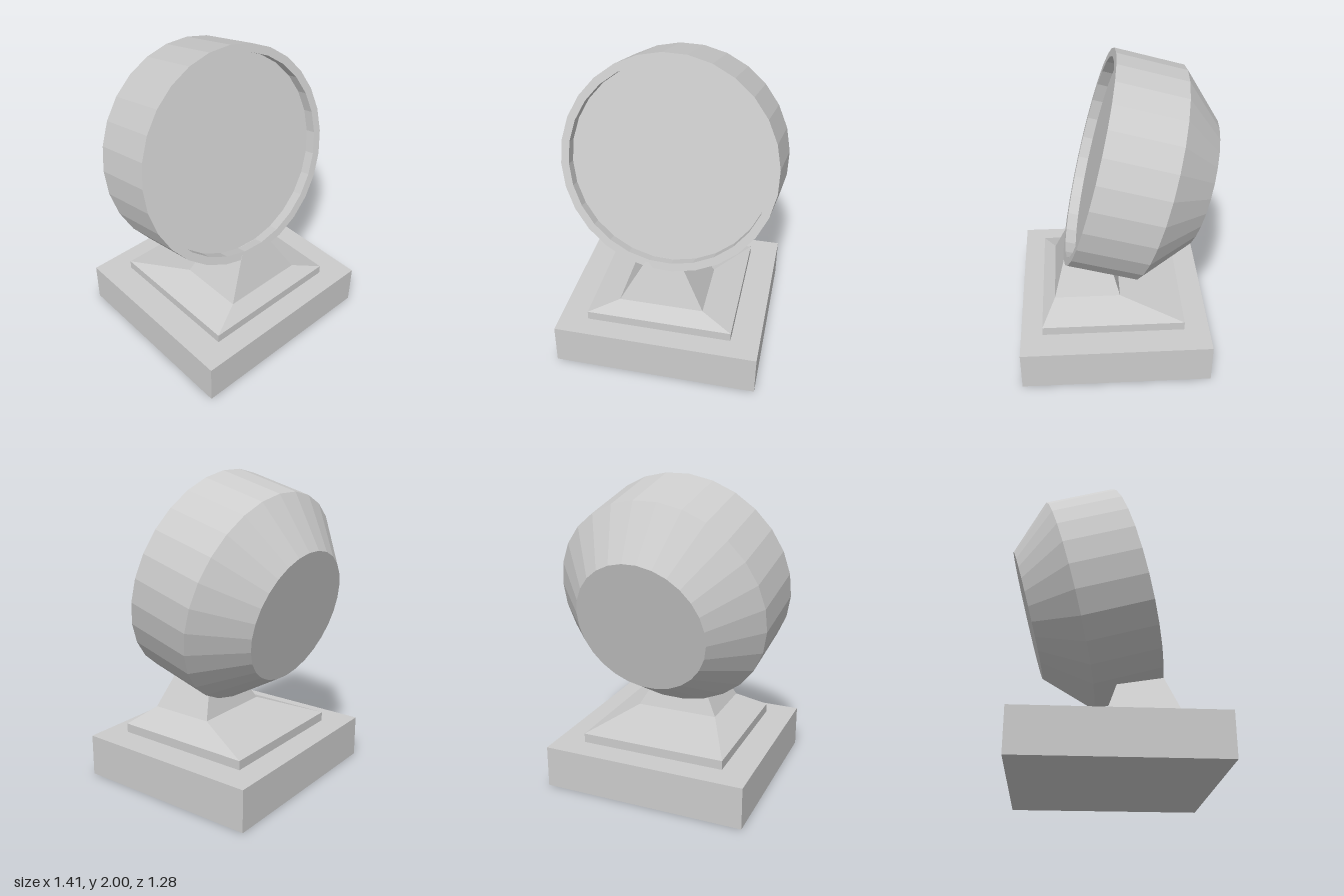
import * as THREE from 'three';

const material = new THREE.MeshStandardMaterial({ color: 0xcccccc, flatShading: true });

// Four-sided block between two rectangles, each given as [y, halfWidth, zBack, zFront]
function taperedBlock(name, bottom, top) {
  const geometry = new THREE.BoxGeometry(1, 1, 1);
  const p = geometry.attributes.position;
  for (let i = 0; i < p.count; i++) {
    const [y, halfWidth, zBack, zFront] = p.getY(i) > 0 ? top : bottom;
    p.setXYZ(i, Math.sign(p.getX(i)) * halfWidth, y, p.getZ(i) > 0 ? zFront : zBack);
  }
  geometry.computeVertexNormals();
  const mesh = new THREE.Mesh(geometry, material);
  mesh.name = name;
  return mesh;
}

export function createModel() {
  const model = new THREE.Group();
  model.name = 'tiltedDrumOnStand';

  // Stepped stand
  model.add(
    taperedBlock('base', [0, 0.668, -0.6, 0.642], [0.275, 0.668, -0.6, 0.642]),
    taperedBlock('plinth', [0.275, 0.48, -0.435, 0.5], [0.335, 0.48, -0.435, 0.5]),
    taperedBlock('plinthSlope', [0.335, 0.48, -0.435, 0.5], [0.415, 0.277, -0.02, 0.415]),
    taperedBlock('neck', [0.415, 0.277, -0.02, 0.415], [0.69, 0.122, 0.07, 0.331])
  );

  // Drum: closed back, conical shoulder, straight wall, rim and recessed face
  const segments = 28;
  const profile = [
    [0, -0.722], [0.43, -0.722], [0.7, -0.445], [0.7, 0],
    [0.647, 0], [0.647, -0.07], [0, -0.07],
  ].map(([r, y]) => new THREE.Vector2(r, y));
  const drumGeometry = new THREE.LatheGeometry(profile, segments, Math.PI / segments);
  drumGeometry.rotateX(Math.PI / 2);
  const drum = new THREE.Mesh(drumGeometry, material);
  drum.name = 'drum';
  drum.rotation.set(-0.257, -0.05, 0, 'YXZ');
  drum.position.set(-0.013, 1.329, 0.167);
  model.add(drum);

  return model;
}
